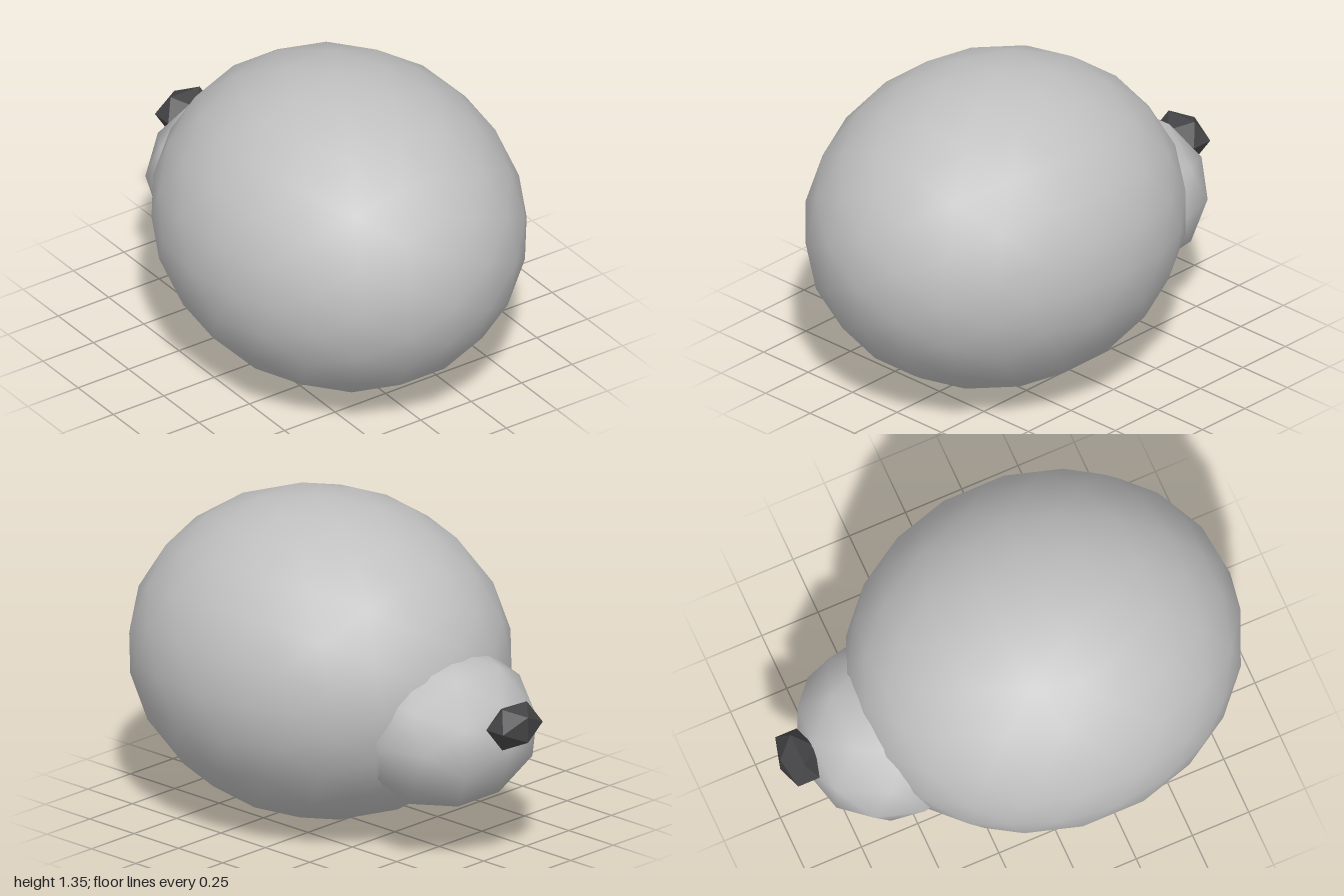
import * as THREE from 'three';

function material(name, color) {
  const m = new THREE.MeshStandardMaterial({ color });
  m.name = name;
  return m;
}

// Ellipsoid made from a subdivided icosahedron; detail 0 stays faceted, higher is smooth
function ellipsoid(name, detail, radii, position, mat) {
  const geometry = new THREE.IcosahedronGeometry(1, detail);
  geometry.scale(...radii);
  const mesh = new THREE.Mesh(geometry, mat);
  mesh.name = name;
  mesh.position.set(...position);
  return mesh;
}

export function createModel() {
  const fur = material('light grey', 0xc0c0c0);
  const dark = material('charcoal', 0x434345);

  const model = new THREE.Group();
  model.name = 'roundAnimal';
  model.add(
    // Large round body
    ellipsoid('body', 3, [0.735, 0.676, 0.83], [0, 0.68, 0.17], fur),
    // Muzzle sunk into the back end of the body
    ellipsoid('muzzle', 1, [0.39, 0.335, 0.378], [0, 0.535, -0.532], fur),
    // Faceted nose on the tip of the muzzle
    ellipsoid('nose', 0, [0.137, 0.103, 0.09], [0, 0.633, -0.924], dark),
  );
  return model;
}
